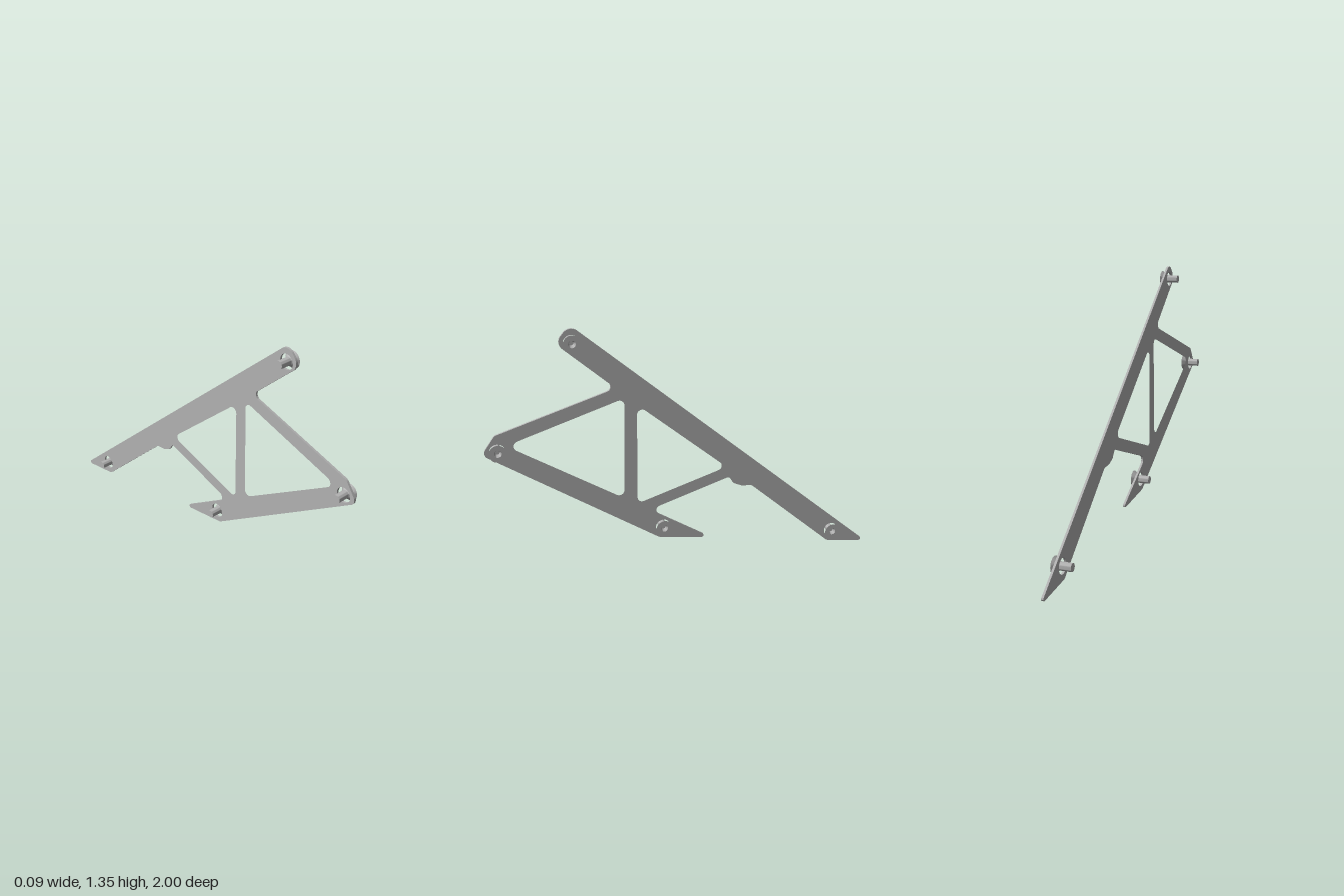
import * as THREE from 'three';
import { toCreasedNormals } from 'three/addons/utils/BufferGeometryUtils.js';

// Draw a closed polygon of [u, y, radius] corners with true arc fillets.
function roundedPolygon(path, corners) {
  const n = corners.length;
  corners.forEach(([x, y, r], i) => {
    const p = new THREE.Vector2(x, y);
    const toward = (c) => new THREE.Vector2(c[0], c[1]).sub(p).normalize();
    const a = toward(corners[(i + n - 1) % n]);
    const b = toward(corners[(i + 1) % n]);
    const half = Math.acos(THREE.MathUtils.clamp(a.dot(b), -1, 1)) / 2;
    const t = r / Math.tan(half);
    const start = p.clone().addScaledVector(a, t);
    const end = p.clone().addScaledVector(b, t);
    const centre = p.clone().addScaledVector(a.clone().add(b).normalize(), r / Math.sin(half));
    if (i === 0) path.moveTo(start.x, start.y);
    else path.lineTo(start.x, start.y);
    const clockwise = a.cross(b) > 0;
    path.absarc(centre.x, centre.y, r, start.clone().sub(centre).angle(),
      end.clone().sub(centre).angle(), clockwise);
  });
  path.closePath();
  return path;
}

export function createModel() {
  const model = new THREE.Group();
  model.name = 'bracket';
  const grey = new THREE.MeshStandardMaterial({ color: 0xb2b2b2 });
  grey.name = 'grey metal';

  // Side profile: u runs towards the back (-z), y is up
  const outline = [
    [-0.564, 1.37, 0.045], [1.03, -0.004, 0.0105], [0.80, 0.032, 0.03],
    [0.35, 0.43, 0.02], [0.295, 0.435, 0.04], [0.25, 0.455, 0.03], [0.225, 0.495, 0.02],
    [-0.20, 0.365, 0.026], [0.125, 0.157, 0.01], [-0.152, 0.2, 0.04],
    [-1.011, 0.77, 0.03], [-0.945, 0.862, 0.03],
    [-0.356, 1.04, 0.025], [-0.635, 1.287, 0.045],
  ];
  const windows = [
    [[-0.315, 0.985, 0.026], [-0.33, 0.45, 0.025], [-0.895, 0.805, 0.026]],
    [[-0.254, 0.945, 0.025], [0.21, 0.553, 0.025], [-0.262, 0.41, 0.025]],
  ];
  const screws = [[-0.56, 1.285], [-0.938, 0.78], [-0.13, 0.26], [0.818, 0.097]];

  // Flat plate with triangular windows and clearance holes
  const shape = roundedPolygon(new THREE.Shape(), outline);
  windows.forEach((w) => shape.holes.push(roundedPolygon(new THREE.Path(), w)));
  screws.forEach(([u, y]) => shape.holes.push(new THREE.Path().absarc(u, y, 0.038, 0, Math.PI * 2)));
  const plateGeometry = new THREE.ExtrudeGeometry(shape, { depth: 0.011, bevelEnabled: false, curveSegments: 12 });
  plateGeometry.rotateY(Math.PI / 2).translate(0.004, 0, 0);
  const plate = new THREE.Mesh(toCreasedNormals(plateGeometry, 0.6), grey);
  plate.name = 'plate';
  model.add(plate);

  // Countersunk screws with a socket in the head, pointing along x
  const profile = [
    [0, -0.045], [0.02, -0.045], [0.02, 0.015], [0.043, 0.043],
    [0.018, 0.043], [0.01, 0.022], [0, 0.022],
  ].map(([r, h]) => new THREE.Vector2(r, h));
  const screwGeometry = toCreasedNormals(new THREE.LatheGeometry(profile, 32).rotateZ(-Math.PI / 2), 0.6);
  screws.forEach(([u, y], i) => {
    const screw = new THREE.Mesh(screwGeometry, grey);
    screw.name = `screw${i + 1}`;
    screw.position.set(0, y, -u);
    model.add(screw);
  });

  return model;
}
